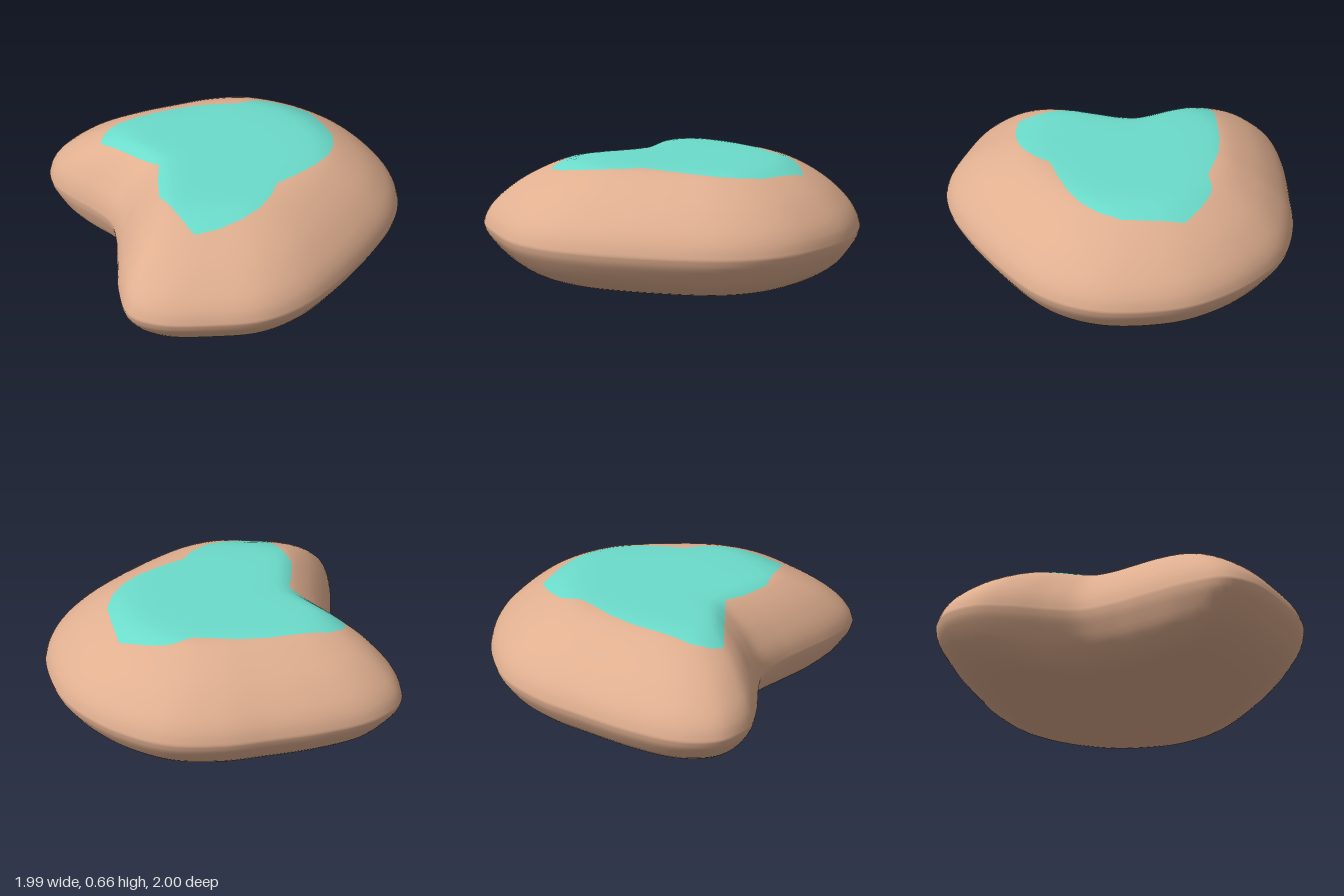
import * as THREE from 'three';

const SEGMENTS = 180;

// Plan outline of the cushion at its widest level, as [x, z]
const OUTLINE = [
  [-0.35, -1], [-0.1, -0.97], [0.2, -0.89], [0.45, -0.81], [0.7, -0.66], [0.87, -0.43], [0.96, -0.2],
  [0.99, 0], [0.96, 0.25], [0.9, 0.43], [0.8, 0.58], [0.65, 0.71], [0.4, 0.83], [0, 0.96],
  [-0.25, 1], [-0.48, 0.97], [-0.7, 0.85], [-0.93, 0.67], [-1, 0.52], [-0.94, 0.34], [-0.8, 0.11],
  [-0.7, -0.05], [-0.63, -0.22], [-0.64, -0.38], [-0.68, -0.6], [-0.68, -0.76], [-0.6, -0.91], [-0.5, -0.97],
];

// Edge of the coloured patch on top, as [x, z]
const PATCH = [
  [-0.48, -0.53], [-0.42, -0.58], [-0.33, -0.6], [-0.2, -0.57], [0, -0.52], [0.15, -0.46], [0.28, -0.38],
  [0.36, -0.33], [0.46, -0.32], [0.52, -0.29], [0.6, -0.21], [0.68, -0.1], [0.64, 0.08], [0.6, 0.22],
  [0.52, 0.32], [0.42, 0.39], [0.3, 0.43], [0.15, 0.45], [0, 0.46], [-0.08, 0.52], [-0.2, 0.57],
  [-0.32, 0.58], [-0.45, 0.56], [-0.58, 0.51], [-0.57, 0.35], [-0.55, 0.16], [-0.47, 0.03], [-0.38, -0.09],
];

// Side profile as [fraction of the outline radius, height]
const UPPER = [[0, 0.655], [0.3, 0.655], [0.5, 0.65], [0.6, 0.63], [0.72, 0.575], [0.83, 0.505], [0.93, 0.415], [0.98, 0.345], [1, 0.285]];
const LOWER = [[0, 0], [0.3, 0.002], [0.5, 0.005], [0.68, 0.018], [0.8, 0.055], [0.9, 0.12], [0.96, 0.195], [0.99, 0.245], [1, 0.285]];

const toVectors = (list) => list.map(([x, y]) => new THREE.Vector2(x, y));

// Distance from the centre to a closed polyline in a given direction
function radiusAt(points, angle) {
  const c = Math.cos(angle), s = Math.sin(angle);
  let best = 0;
  points.forEach((p, i) => {
    const q = points[(i + 1) % points.length];
    const a = c * p.y - s * p.x, b = c * q.y - s * q.x;
    if (a * b > 0 || a === b) return;
    const t = a / (a - b);
    best = Math.max(best, c * (p.x + (q.x - p.x) * t) + s * (p.y + (q.y - p.y) * t));
  });
  return best;
}

// Height lookup along a smoothed profile
function heightFunction(profile) {
  const pts = new THREE.SplineCurve(toVectors(profile)).getPoints(240);
  return (f) => {
    const k = pts.findIndex((p) => p.x >= f);
    if (k < 0) return pts[pts.length - 1].y;
    if (k === 0) return pts[0].y;
    const a = pts[k - 1], b = pts[k];
    return a.y + (b.y - a.y) * (f - a.x) / (b.x - a.x || 1);
  };
}

export function createModel() {
  const group = new THREE.Group();
  group.name = 'cushion';

  const smooth = new THREE.CatmullRomCurve3(OUTLINE.map(([x, z]) => new THREE.Vector3(x, 0, z)), true)
    .getPoints(400).slice(0, -1).map((p) => new THREE.Vector2(p.x, p.z));
  const patchEdge = toVectors(PATCH);
  const upper = heightFunction(UPPER), lower = heightFunction(LOWER);

  // Rings run from the bottom centre over the rim to the patch edge, then to the top centre
  const UNDER = 24, SHOULDER = 20, TOP = 12;
  const rings = UNDER + SHOULDER + TOP;
  const positions = [];
  for (let j = 0; j <= rings; j++) {
    for (let i = 0; i < SEGMENTS; i++) {
      const angle = (i / SEGMENTS) * Math.PI * 2;
      const radius = radiusAt(smooth, angle);
      const edge = radiusAt(patchEdge, angle) / radius;
      let f, y;
      if (j <= UNDER) {
        f = 1 - (1 - j / UNDER) ** 2;
        y = lower(f);
      } else if (j <= UNDER + SHOULDER) {
        f = 1 - (1 - edge) * ((j - UNDER) / SHOULDER) ** 1.7;
        y = upper(f);
      } else {
        f = edge * (rings - j) / TOP;
        y = upper(f);
      }
      positions.push(f * radius * Math.cos(angle), y, f * radius * Math.sin(angle));
    }
  }

  const bandIndex = (from, to) => {
    const index = [];
    for (let j = from; j < to; j++) {
      for (let i = 0; i < SEGMENTS; i++) {
        const n = (i + 1) % SEGMENTS;
        const a = j * SEGMENTS + i, b = j * SEGMENTS + n;
        const c = a + SEGMENTS, d = b + SEGMENTS;
        if (j < rings - 1) index.push(a, c, d);
        else index.push(a, c, b);
        if (j > 0 && j < rings - 1) index.push(a, d, b);
      }
    }
    return index;
  };

  // Normals come from the whole skin so the patch blends into the body
  const skin = new THREE.BufferGeometry();
  skin.setAttribute('position', new THREE.Float32BufferAttribute(positions, 3));
  skin.setIndex(bandIndex(0, rings));
  skin.computeVertexNormals();

  const addPart = (name, color, from, to) => {
    const first = from * SEGMENTS * 3, last = (to + 1) * SEGMENTS * 3;
    const geometry = new THREE.BufferGeometry();
    for (const key of ['position', 'normal']) {
      geometry.setAttribute(key, new THREE.BufferAttribute(skin.attributes[key].array.slice(first, last), 3));
    }
    geometry.setIndex(bandIndex(from, to).map((v) => v - from * SEGMENTS));
    const mesh = new THREE.Mesh(geometry, new THREE.MeshStandardMaterial({ color }));
    mesh.name = name;
    group.add(mesh);
  };
  addPart('body', 0xe0af90, 0, UNDER + SHOULDER);
  addPart('topPatch', 0x6cdccb, UNDER + SHOULDER, rings);
  return group;
}
